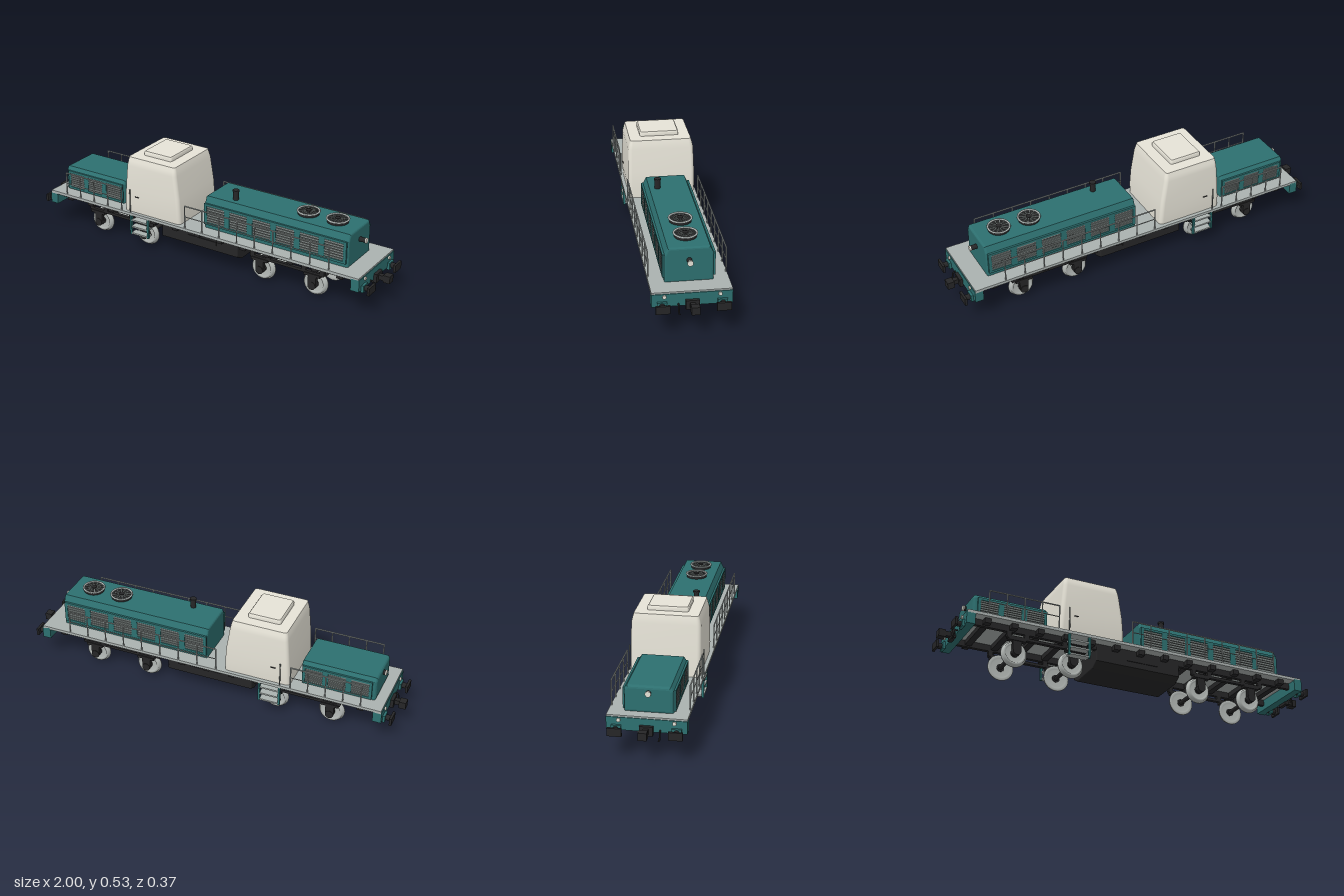
import * as THREE from 'three';

const mat = (name, color) => {
  const m = new THREE.MeshStandardMaterial({ color });
  m.name = name;
  return m;
};

export function createModel() {
  const root = new THREE.Group();
  root.name = 'shuntingLocomotive';
  const teal = mat('teal paint', 0x2d7070), cream = mat('cream paint', 0xe6e3d7);
  const grey = mat('deck grey', 0xabb2b0), black = mat('black metal', 0x262627);
  const steel = mat('wheel steel', 0xb4b9b6), slat = mat('louvre grey', 0x7b8381);
  const lamp = mat('lamp white', 0xf3f0e4);

  const add = (name, geo, material, x = 0, y = 0, z = 0, parent = root) => {
    const m = new THREE.Mesh(geo, material);
    m.name = name;
    m.position.set(x, y, z);
    parent.add(m);
    return m;
  };
  // box given by its limits on each axis
  const box = (name, material, x0, x1, y0, y1, z0, z1) =>
    add(name, new THREE.BoxGeometry(x1 - x0, y1 - y0, Math.abs(z1 - z0)), material,
      (x0 + x1) / 2, (y0 + y1) / 2, (z0 + z1) / 2);
  // cylinder along a chosen axis
  const cyl = (name, material, axis, r, len, x, y, z, seg = 20) => {
    const g = new THREE.CylinderGeometry(r, r, len, seg);
    if (axis === 'x') g.rotateZ(-Math.PI / 2);
    if (axis === 'z') g.rotateX(Math.PI / 2);
    return add(name, g, material, x, y, z);
  };
  // cross-section of [z, y] points swept along x, with bevelled ends
  const prism = (name, material, pts, x0, x1, bevel) => {
    const s = new THREE.Shape(pts.map(p => new THREE.Vector2(p[0], p[1])));
    const g = new THREE.ExtrudeGeometry(s, {
      depth: x1 - x0 - 2 * bevel, bevelEnabled: true, bevelThickness: bevel,
      bevelSize: bevel, bevelOffset: -bevel, bevelSegments: 3,
    });
    g.rotateY(Math.PI / 2);
    return add(name, g, material, x0 + bevel, 0, 0);
  };
  const mirrored = pts => [...pts, ...pts.slice().reverse().map(([z, y]) => [-z, y])];

  // ---- deck and underframe
  box('deck', grey, -0.92, 0.92, 0.19, 0.205, -0.185, 0.185);
  for (const s of [-1, 1])
    box('longSill', black, -0.88, 0.88, 0.158, 0.191, s * 0.115, s * 0.133);
  for (let i = 0; i < 13; i++) {
    const x = -0.81 + i * 0.135;
    box('crossBeam', black, x - 0.016, x + 0.016, 0.165, 0.191, -0.165, 0.165);
  }
  prism('fuelTank', black, mirrored([[0.09, 0.075], [0.135, 0.1], [0.135, 0.175]]), -0.235, 0.225, 0.006);
  for (const s of [-1, 1]) box('tankPanel', black, -0.07, 0.1, 0.13, 0.15, s * 0.134, s * 0.139);

  // ---- wheels, axles and running gear
  const tyre = new THREE.LatheGeometry([
    [0, -0.006], [0.045, -0.006], [0.05, -0.01], [0.066, -0.01], [0.066, -0.005],
    [0.059, -0.003], [0.058, 0.01], [0.047, 0.01], [0.043, 0.004], [0, 0.004],
  ].map(p => new THREE.Vector2(p[0], p[1])), 36).rotateX(Math.PI / 2);
  for (const cx of [-0.5, 0.5]) {
    for (const x of [cx - 0.148, cx + 0.147]) {
      cyl('axle', black, 'z', 0.011, 0.25, x, 0.066, 0);
      for (const s of [-1, 1]) {
        const w = add('wheel', tyre, steel, x, 0.066, s * 0.094);
        if (s < 0) w.rotation.y = Math.PI;
        cyl('wheelHub', black, 'z', 0.02, 0.024, x, 0.066, s * 0.097);
        cyl('axleBox', black, 'z', 0.021, 0.024, x, 0.066, s * 0.125);
        box('axleGuard', black, x - 0.022, x + 0.022, 0.07, 0.12, s * 0.116, s * 0.134);
        box('spring', black, x - 0.045, x + 0.045, 0.118, 0.132, s * 0.112, s * 0.138);
      }
    }
    for (const s of [-1, 1]) {
      box('runningGearBeam', black, cx - 0.2, cx + 0.21, 0.128, 0.142, s * 0.115, s * 0.133);
      for (const dx of [-0.19, -0.1, 0.1, 0.2])
        box('beamHanger', black, cx + dx - 0.012, cx + dx + 0.012, 0.135, 0.17, s * 0.115, s * 0.133);
    }
  }

  // ---- end beams, buffers, couplers and lamps
  for (const e of [-1, 1]) {
    const span = (name, m, a, b, y0, y1, z0, z1) =>
      box(name, m, Math.min(e * a, e * b), Math.max(e * a, e * b), y0, y1, z0, z1);
    span('endBeam', teal, 0.88, 0.924, 0.135, 0.197, -0.185, 0.185);
    for (const s of [-1, 1]) {
      span('bufferPlate', black, 0.96, 0.972, 0.123, 0.162, s * 0.105, s * 0.171);
      cyl('bufferShaft', black, 'x', 0.014, 0.045, e * 0.941, 0.143, s * 0.138);
      span('bufferBase', teal, 0.922, 0.936, 0.125, 0.161, s * 0.115, s * 0.16);
      cyl('markerLamp', lamp, 'x', 0.009, 0.008, e * 0.927, 0.185, s * 0.127);
    }
    span('couplerPocket', black, 0.92, 0.94, 0.121, 0.166, -0.031, 0.031);
    span('couplerShank', black, 0.935, 0.975, 0.132, 0.156, -0.012, 0.012);
    span('couplerHead', black, 0.965, 1.0, 0.125, 0.162, -0.025, 0.014);
    const hose = new THREE.CatmullRomCurve3(
      [[0.92, 0.145, 0.063], [0.935, 0.143, 0.063], [0.942, 0.12, 0.063], [0.945, 0.103, 0.06], [0.948, 0.106, 0.055]]
        .map(([x, y, z]) => new THREE.Vector3(e * x, y, z)));
    add('brakeHose', new THREE.TubeGeometry(hose, 14, 0.004, 8), black);
  }

  // ---- hoods
  prism('longHood', teal, mirrored([[0.113, 0.2], [0.113, 0.338], [0.097, 0.373]]), 0.015, 0.826, 0.01);
  prism('shortHood', teal, mirrored([[0.113, 0.2], [0.113, 0.312], [0.1, 0.331]]), -0.87, -0.487, 0.014);

  // side doors: teal frame around recessed louvres
  const louvres = (x0, x1, y0, y1, count) => {
    const pitch = (x1 - x0) / count, low = y0 + 0.012, high = y1 - 0.012, rows = 7;
    for (const s of [-1, 1]) {
      box('doorFrameTop', teal, x0, x1, high, y1, s * 0.11, s * 0.122);
      box('doorFrameBottom', teal, x0, x1, y0, low, s * 0.11, s * 0.122);
      for (let i = 0; i <= count; i++) {
        const a = Math.max(x0, x0 + pitch * (i - 0.12)), b = Math.min(x1, x0 + pitch * (i + 0.12));
        box('doorFramePost', teal, a, b, low, high, s * 0.11, s * 0.122);
      }
      box('louvreBack', black, x0, x1, low, high, s * 0.11, s * 0.115);
      for (let i = 0; i < count; i++)
        for (let k = 0; k < rows; k++) {
          const step = (high - low) / rows, y = low + step * (k + 0.5);
          box('louvreSlat', slat, x0 + pitch * (i + 0.12), x0 + pitch * (i + 0.88),
            y - step * 0.32, y + step * 0.32, s * 0.114, s * 0.12);
        }
    }
  };
  louvres(0.018, 0.818, 0.225, 0.34, 6);
  louvres(-0.85, -0.495, 0.21, 0.312, 3);

  // headlights
  for (const [x, y, e] of [[0.826, 0.312, 1], [-0.87, 0.3, -1]]) {
    const len = e > 0 ? 0.034 : 0.012;
    cyl('headlightHousing', black, 'x', 0.012, len, x + e * len / 2, y, 0);
    cyl('headlight', lamp, 'x', 0.014, 0.006, x + e * (len + 0.002), y, 0);
  }

  // exhaust and roof fans
  cyl('exhaustPipe', black, 'y', 0.014, 0.055, 0.165, 0.395, 0.057);
  cyl('exhaustCap', black, 'y', 0.017, 0.008, 0.165, 0.421, 0.057);
  for (const x of [0.545, 0.705]) {
    cyl('fanDrum', black, 'y', 0.053, 0.014, x, 0.379, 0, 32);
    add('fanRim', new THREE.TorusGeometry(0.0535, 0.005, 8, 36).rotateX(Math.PI / 2), grey, x, 0.389, 0);
    add('fanGuard', new THREE.TorusGeometry(0.032, 0.002, 6, 28).rotateX(Math.PI / 2), slat, x, 0.389, 0);
    cyl('fanHub', black, 'y', 0.014, 0.01, x, 0.388, 0);
    for (let k = 0; k < 6; k++)
      add('fanSpoke', new THREE.BoxGeometry(0.106, 0.003, 0.004), slat, x, 0.388, 0).rotation.y = k * Math.PI / 6;
  }

  // ---- cab: rounded rectangles [y, x0, x1, half depth, corner radius] joined upward
  const ring = ([y, x0, x1, d, r]) => {
    const pts = [];
    [[x1 - r, d - r], [x0 + r, d - r], [x0 + r, r - d], [x1 - r, r - d]].forEach(([cx, cz], q) => {
      for (let k = 0; k <= 5; k++) {
        const a = (q + k / 5) * Math.PI / 2;
        pts.push([cx + r * Math.cos(a), y, cz + r * Math.sin(a)]);
      }
    });
    return pts;
  };
  const loft = levels => {
    const rings = levels.map(ring), n = rings[0].length, pos = rings.flat(2), idx = [];
    for (let l = 0; l + 1 < rings.length; l++)
      for (let i = 0; i < n; i++) {
        const a = l * n + i, b = l * n + (i + 1) % n;
        idx.push(a, a + n, b, b, a + n, b + n);
      }
    // flat lid with its own corners
    const lid = pos.length / 3;
    pos.push(...rings.at(-1).flat());
    for (let i = 1; i + 1 < n; i++) idx.push(lid, lid + i + 1, lid + i);
    const g = new THREE.BufferGeometry();
    g.setAttribute('position', new THREE.Float32BufferAttribute(pos, 3));
    g.setIndex(idx);
    g.computeVertexNormals();
    return g;
  };
  add('cab', loft([
    [0.2, -0.445, -0.1, 0.166, 0.02], [0.26, -0.443, -0.101, 0.171, 0.02],
    [0.34, -0.438, -0.107, 0.171, 0.02], [0.46, -0.428, -0.125, 0.168, 0.02],
    [0.485, -0.424, -0.13, 0.162, 0.018], [0.505, -0.419, -0.136, 0.156, 0.014],
  ]), cream);
  add('roofHatch', loft([
    [0.5, -0.366, -0.195, 0.1, 0.012], [0.52, -0.366, -0.195, 0.1, 0.012], [0.527, -0.361, -0.2, 0.095, 0.01],
  ]), cream);
  for (const s of [-1, 1]) {
    box('doorHandle', black, -0.372, -0.348, 0.293, 0.298, s * 0.17, s * 0.174);
    cyl('cabHandrail', slat, 'y', 0.003, 0.13, -0.4, 0.268, s * 0.18, 8);
  }

  // ---- railings along both edges
  const railing = (x0, x1, posts) => {
    for (const s of [-1, 1]) {
      for (const [y, r] of [[0.327, 0.0035], [0.268, 0.0025]])
        cyl('handrail', grey, 'x', r, x1 - x0, (x0 + x1) / 2, y, s * 0.181, 8);
      for (let i = 0; i < posts; i++)
        cyl('railPost', grey, 'y', 0.0035, 0.128, x0 + (x1 - x0) * i / (posts - 1), 0.264, s * 0.181, 8);
    }
  };
  railing(-0.06, 0.76, 9);
  railing(-0.815, -0.455, 5);

  // ---- cab steps
  for (const s of [-1, 1]) {
    for (const x of [-0.398, -0.292])
      box('stepSide', teal, x - 0.005, x + 0.005, 0.082, 0.194, s * 0.17, s * 0.182);
    for (const y of [0.088, 0.125, 0.162])
      box('stepTread', grey, -0.396, -0.294, y - 0.004, y + 0.004, s * 0.142, s * 0.181);
  }
  return root;
}
